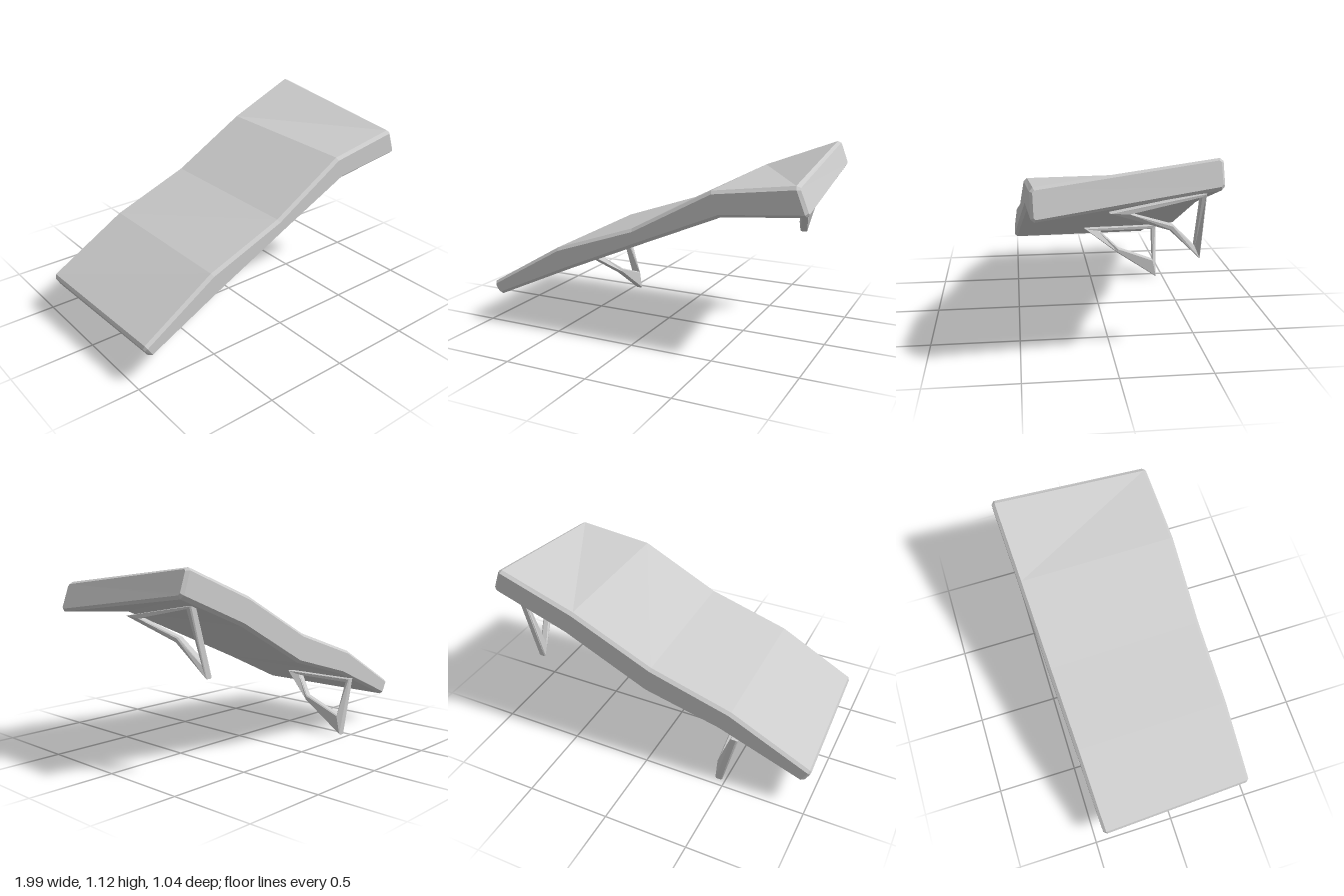
import * as THREE from 'three';

const V = (x, y, z) => new THREE.Vector3(x, y, z);
const material = new THREE.MeshStandardMaterial({ color: 0xcccccc, flatShading: true });

// Move from a towards b by a fixed distance
const toward = (a, b, d) => a.clone().add(b.clone().sub(a).setLength(d));

// Cut the four corners of a section, giving eight points
function chamfer(q, c) {
  return q.flatMap((p, i) => [toward(p, q[(i + 3) % 4], c), toward(p, q[(i + 1) % 4], c)]);
}

// Shrink a section inside its own outline
function inset(q, d) {
  return q.map((p, i) => toward(toward(p, q[(i + 3) % 4], d), q[(i + 1) % 4], d)
    .addScaledVector(V(0, 0, 0), 1));
}

// Skin a row of sections, either as a closed loop or with end caps
function loft(rings, closed) {
  const n = rings[0].length, positions = [], index = [];
  rings.forEach(r => r.forEach(p => positions.push(p.x, p.y, p.z)));
  const spans = closed ? rings.length : rings.length - 1;
  for (let i = 0; i < spans; i++) {
    const k = (i + 1) % rings.length;
    for (let j = 0; j < n; j++) {
      const m = (j + 1) % n;
      const a = i * n + j, b = i * n + m, c = k * n + m, d = k * n + j;
      index.push(a, b, c, a, c, d);
    }
  }
  if (!closed) {
    const last = (rings.length - 1) * n;
    for (let j = 1; j < n - 1; j++) {
      index.push(0, j + 1, j, last, last + j, last + j + 1);
    }
  }
  const g = new THREE.BufferGeometry();
  g.setAttribute('position', new THREE.Float32BufferAttribute(positions, 3));
  g.setIndex(index);
  g.computeVertexNormals();
  return g;
}

function part(geometry, name) {
  const mesh = new THREE.Mesh(geometry, material);
  mesh.name = name;
  return mesh;
}

// Bent, twisting ramp: each station gives x,y for front top, front bottom, back bottom, back top
function createDeck() {
  const frontZ = x => 0.518 - 0.044 * (x + 0.96);
  const backZ = x => -0.44 - 0.043 * (x + 1);
  const stations = [
    [-0.965, 0.25, -0.92, 0.175, -0.955, 0.175, -1.005, 0.262],
    [-0.5, 0.52, -0.43, 0.395, -0.44, 0.395, -0.515, 0.53],
    [-0.01, 0.685, 0.035, 0.595, 0.005, 0.525, -0.03, 0.695],
    [0.46, 0.938, 0.515, 0.797, 0.505, 0.79, 0.45, 0.945],
    [0.935, 0.998, 0.997, 0.837, 0.965, 0.975, 0.91, 1.125],
  ];
  const quads = stations.map(s => [
    V(s[0], s[1], frontZ(s[0])), V(s[2], s[3], frontZ(s[2])),
    V(s[4], s[5], backZ(s[4])), V(s[6], s[7], backZ(s[6])),
  ]);
  const pulled = (q, next) => q.map((p, i) => toward(p, next[i], 0.018));
  const rings = [
    chamfer(inset(quads[0], 0.015), 0.01),
    chamfer(pulled(quads[0], quads[1]), 0.016),
    ...quads.slice(1, 4).map(q => chamfer(q, 0.018)),
    chamfer(pulled(quads[4], quads[3]), 0.018),
    chamfer(inset(quads[4], 0.015), 0.01),
  ];
  return part(loft(rings, false), 'deck');
}

// Open triangular leg; each corner is x, outer y,z and inner y,z
function createLeg(corners, name) {
  const h = 0.022;
  const rings = corners.map(([x, oy, oz, iy, iz]) => chamfer([
    V(x + h, oy, oz), V(x - h, oy, oz), V(x - h, iy, iz), V(x + h, iy, iz),
  ], 0.007));
  return part(loft(rings, true), name);
}

export function createModel() {
  const group = new THREE.Group();
  group.name = 'bentRamp';
  group.add(createDeck());

  // Corners run: back top, front tip, bend, foot
  group.add(createLeg([
    [-0.542, 0.35, -0.462, 0.322, -0.43],
    [-0.54, 0.338, 0.035, 0.322, -0.065],
    [-0.457, 0.187, -0.18, 0.217, -0.19],
    [-0.46, 0.0, -0.455, 0.125, -0.428],
  ], 'lowLeg'));
  group.add(createLeg([
    [0.825, 0.925, -0.462, 0.902, -0.43],
    [0.83, 0.835, 0.035, 0.828, -0.075],
    [0.77, 0.718, -0.285, 0.745, -0.305],
    [0.72, 0.54, -0.462, 0.615, -0.43],
  ], 'highLeg'));
  return group;
}
